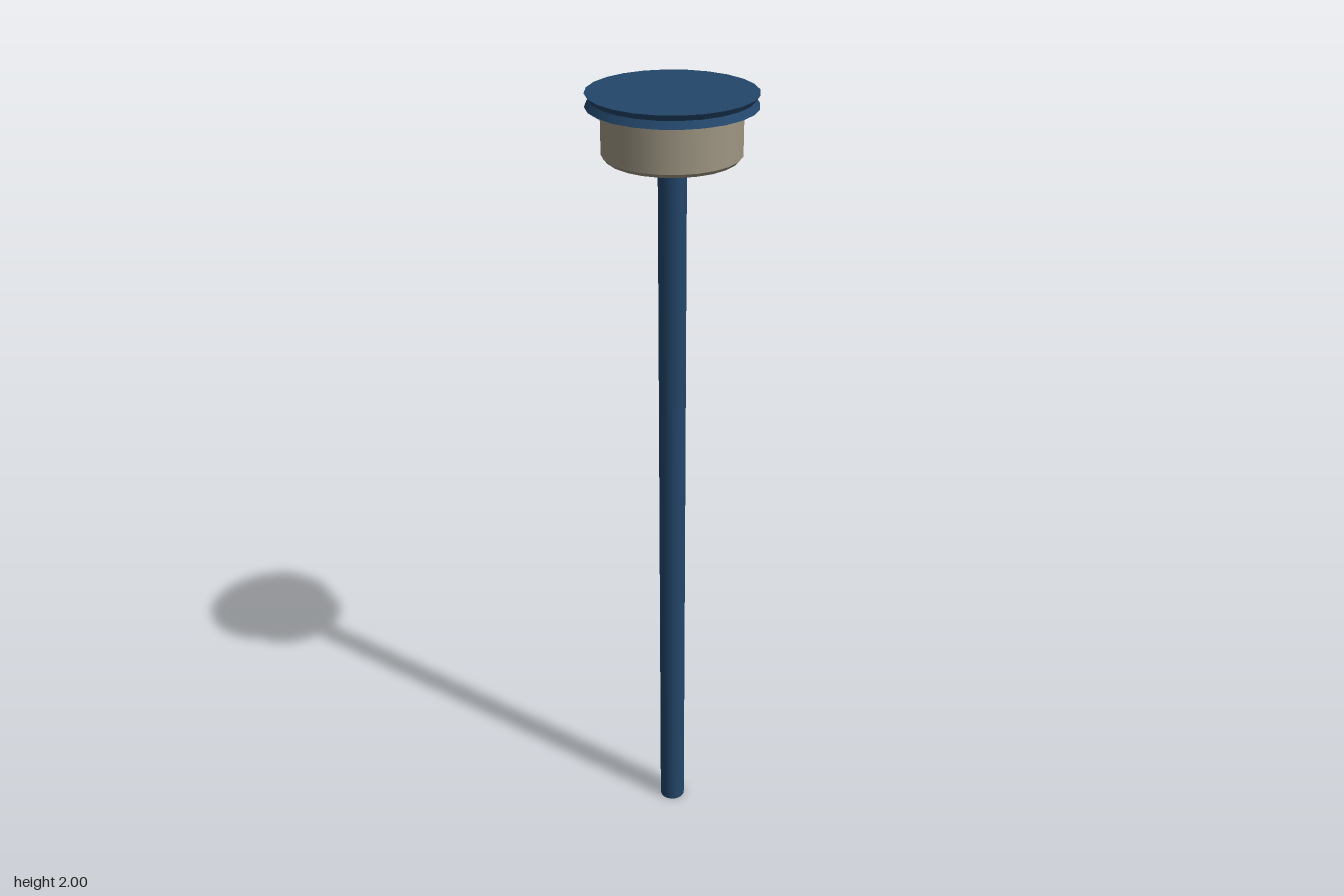
import * as THREE from 'three';

const SIDES = 24;

export function createModel() {
  const model = new THREE.Group();
  const blue = new THREE.MeshStandardMaterial({ color: 0x23466a });
  blue.name = 'navy blue';
  const stone = new THREE.MeshStandardMaterial({ color: 0x9e9683 });
  stone.name = 'warm grey';

  // Stacked ring sections with crisp edges; only the outer ends are capped.
  // Each profile entry is [radius, height], from bottom to top.
  function turned(name, profile, material) {
    const part = new THREE.Group();
    part.name = name;
    const add = (geometry, y) => {
      const mesh = new THREE.Mesh(geometry, material);
      mesh.name = name + 'Section';
      mesh.position.y = y;
      part.add(mesh);
    };
    for (let i = 0; i < profile.length - 1; i++) {
      const [r0, y0] = profile[i];
      const [r1, y1] = profile[i + 1];
      add(new THREE.CylinderGeometry(r1, r0, y1 - y0, SIDES, 1, true), (y0 + y1) / 2);
    }
    const [rBottom, yBottom] = profile[0];
    const [rTop, yTop] = profile[profile.length - 1];
    add(new THREE.CircleGeometry(rBottom, SIDES).rotateX(Math.PI / 2), yBottom);
    add(new THREE.CircleGeometry(rTop, SIDES).rotateX(-Math.PI / 2), yTop);
    model.add(part);
  }

  // Long straight stem
  turned('stem', [[0.033, 0], [0.033, 1.83]], blue);
  // Flared collar under the drum
  turned('collar', [[0.034, 1.823], [0.039, 1.84], [0.039, 1.856]], blue);
  // Drum with a small lower bevel
  turned('drum', [[0.152, 1.854], [0.16, 1.863], [0.16, 1.972]], stone);
  // Cap disc with a shallow groove round its rim
  turned('cap', [[0.194, 1.97], [0.184, 1.986], [0.194, 2]], blue);

  return model;
}
